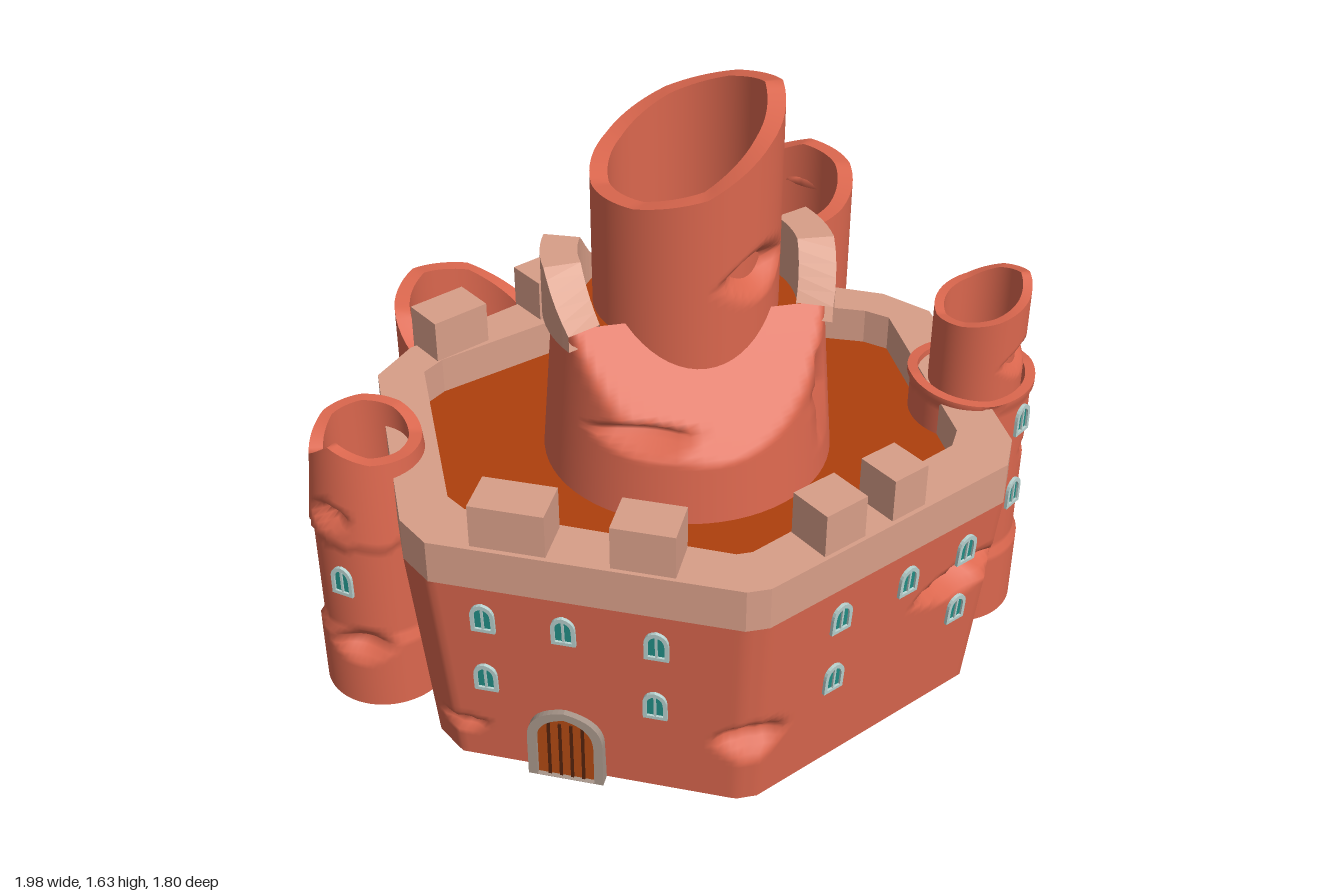
import * as THREE from 'three';
import { mergeGeometries } from 'three/addons/utils/BufferGeometryUtils.js';

const mat = (name, color) => {
  const m = new THREE.MeshStandardMaterial({ color, side: THREE.DoubleSide });
  m.name = name;
  return m;
};

export function createModel() {
  const clay = mat('red clay', 0xdb674e), pale = mat('pale stone', 0xd89e88), floorMat = mat('orange floor', 0xae3f0d);
  const teal = mat('teal glass', 0x239088), frameMat = mat('window frame', 0xb9d3d0);
  const wood = mat('door wood', 0xb14a12), dark = mat('dark gap', 0x54220c), archMat = mat('gate stone', 0xa8968a);

  const root = new THREE.Group();
  root.name = 'ruinedCastle';
  const add = (name, geo, m, parent = root) => {
    const mesh = new THREE.Mesh(geo, m);
    mesh.name = name;
    parent.add(mesh);
    return mesh;
  };

  // Grid surface closed around u; point(u, v) returns a Vector3
  function sheet(nu, nv, point, flip = false) {
    const pos = [], idx = [];
    for (let j = 0; j <= nv; j++)
      for (let i = 0; i < nu; i++) pos.push(...point(i / nu, j / nv).toArray());
    for (let j = 0; j < nv; j++)
      for (let i = 0; i < nu; i++) {
        const k = (i + 1) % nu, a = j * nu + i, b = j * nu + k, c = a + nu, d = b + nu;
        flip ? idx.push(a, d, b, a, c, d) : idx.push(a, b, d, a, d, c);
      }
    const g = new THREE.BufferGeometry();
    g.setAttribute('position', new THREE.Float32BufferAttribute(pos, 3));
    g.setIndex(idx);
    g.computeVertexNormals();
    return g;
  }

  // Lens-shaped gouges [x, y, z, halfWidth, halfHeight, depth], pushed toward an axis
  function gouge(p, dents, cx, cz) {
    let push = 0;
    for (const [x, y, z, w, h, d] of dents) {
      const dist = Math.hypot(p.x - x, p.z - z) / w;
      push = Math.max(push, d * (1 - dist * dist - Math.abs(p.y - y) / h));
    }
    const r = Math.hypot(p.x - cx, p.z - cz);
    p.x -= (p.x - cx) / r * push;
    p.z -= (p.z - cz) / r * push;
    return p;
  }

  // Broken tube; tops are rim heights at eighths, from the front toward +x
  function tower(name, { x, z, r, inner, y0 = 0, tops, dents = [], shape = p => p }) {
    const rAt = typeof r === 'function' ? r : () => r;
    const top = u => {
      const f = u * tops.length, i = Math.floor(f), n = tops.length;
      return THREE.MathUtils.lerp(tops[i % n], tops[(i + 1) % n], f - i);
    };
    const at = (u, rad, y) => {
      const a = u * Math.PI * 2;
      return new THREE.Vector3(x + rad * Math.sin(a), y, z + rad * Math.cos(a));
    };
    const parts = [sheet(64, 44, (u, v) => {
      const y = y0 + v * (top(u) - y0);
      return shape(gouge(at(u, rAt(y), y), dents, x, z));
    })];
    if (inner) {
      parts.push(sheet(64, 1, (u, v) => at(u, inner, y0 + v * (top(u) - y0)), true));
      parts.push(sheet(64, 1, (u, v) => at(u, v ? inner : rAt(top(u)), top(u))));
      parts.push(sheet(64, 1, (u, v) => at(u, v ? inner : rAt(y0), y0), true));
    }
    return add(name, mergeGeometries(parts), clay);
  }

  // Hexagonal outlines with clipped corners, mirrored about the castle axis
  const CX = 0.015, CZ = 0.15;
  const outline = half => [...half, ...half.slice().reverse().map(([x, z]) => [-x, z])]
    .map(([x, z]) => new THREE.Vector2(x + CX, z));
  const outer = outline([[0.03, 0.9], [0.74, 0.56], [0.79, 0.46], [0.79, -0.19], [0.69, -0.31], [0.13, -0.6]]);
  const inner = outline([[0.02, 0.76], [0.63, 0.45], [0.665, 0.39], [0.665, -0.18], [0.61, -0.23], [0.06, -0.46]]);
  const scaleAt = y => 0.93 + 0.07 * Math.min(y / 0.61, 1);

  // Curtain wall
  const path = new THREE.Path([...outer, outer[0]]);
  const ring = path.getSpacedPoints(260);
  const wallDents = [
    [0.02, 0.21, 0.84, 0.1, 0.075, 0.07], [0.66, 0.41, 0.57, 0.2, 0.06, 0.11], [-0.65, 0.115, 0.52, 0.08, 0.03, 0.05],
    [0.76, 0.36, -0.22, 0.1, 0.2, 0.09], [-0.36, 0.3, -0.42, 0.1, 0.1, 0.07], [-0.7, 0.2, -0.2, 0.12, 0.12, 0.07],
    [0.45, 0.35, -0.4, 0.1, 0.14, 0.07],
  ];
  add('curtainWall', sheet(260, 36, (u, v) => {
    const q = ring[Math.round(u * 260)], y = v * 0.61, s = scaleAt(y);
    return gouge(new THREE.Vector3(CX + (q.x - CX) * s, y, CZ + (q.y - CZ) * s), wallDents, CX, CZ);
  }), clay);

  // Parapet and courtyard floor
  const flat = pts => pts.map(p => new THREE.Vector2(p.x, -p.y));
  const parapetShape = new THREE.Shape(flat(outer));
  parapetShape.holes.push(new THREE.Path(flat(inner)));
  const parapet = new THREE.ExtrudeGeometry(parapetShape, { depth: 0.12, bevelEnabled: false });
  add('parapet', parapet.rotateX(-Math.PI / 2).translate(0, 0.61, 0), pale);
  const court = new THREE.ShapeGeometry(new THREE.Shape(flat(inner)));
  add('courtyardFloor', court.rotateX(-Math.PI / 2).translate(0, 0.625, 0), floorMat);

  // Merlons: x along the wall, width, front or back wall
  for (const [x, w, front] of [[-0.21, 0.16, 1], [-0.51, 0.19, 1], [0.23, 0.13, 1], [0.42, 0.11, 1],
    [-0.25, 0.17, 0], [-0.56, 0.17, 0], [0.2, 0.17, 0], [0.45, 0.15, 0]]) {
    const ax = Math.abs(x - CX), side = Math.sign(x);
    const z = front ? 0.837 - 0.485 * ax : -0.605 + 0.5 * ax;
    const m = add('merlon', new THREE.BoxGeometry(w, 0.13, 0.12), pale);
    m.position.set(x, 0.785, z);
    m.rotation.y = side * (front ? 0.45 : -0.48);
  }

  // Keep: lower drum with a sloping broken front
  const slope = y => 0.5 - (y - 0.78) * 0.867;
  const cut = p => (p.z = Math.min(p.z, slope(p.y)), p);
  tower('keepLower', {
    x: 0.02, z: 0.12, y0: 0.61, r: y => 0.385 - (y - 0.61) * 0.08, tops: [1.08, 1.08, 1.08, 1.06, 1.05, 1.06, 1.08, 1.08],
    dents: [[-0.14, 0.85, 0.44, 0.18, 0.05, 0.08], [0.33, 0.87, 0.33, 0.04, 0.17, 0.05]], shape: cut,
  });
  const keepFloor = new THREE.CircleGeometry(0.345, 48).rotateX(-Math.PI / 2).translate(0.02, 1.045, 0.12);
  const kp = keepFloor.attributes.position;
  for (let i = 0; i < kp.count; i++) kp.setZ(i, Math.min(kp.getZ(i), slope(1.05)));
  add('keepFloor', keepFloor, floorMat);

  // Keep parapet remnants on both sides
  for (const side of [-1, 1]) {
    const arc = sheet(4, 16, (u, v) => {
      const a = side * (1.12 + v * 1.22), k = Math.round(u * 4);
      const rad = k === 0 || k === 3 ? 0.28 : 0.375;
      const h = 1.085 + 0.125 * Math.min(1, v / 0.3, (1 - v) / 0.3);
      return new THREE.Vector3(0.02 + rad * Math.sin(a), k < 2 ? 1.04 : h, 0.12 + rad * Math.cos(a));
    }, side < 0).toNonIndexed();
    arc.computeVertexNormals();
    add('keepParapet', arc, pale);
  }

  // Keep: upper tower
  tower('keepUpper', {
    x: 0.02, z: 0.09, r: 0.24, inner: 0.195, y0: 0.95, tops: [1.45, 1.55, 1.63, 1.59, 1.53, 1.45, 1.4, 1.41],
    dents: [[0.17, 1.21, 0.28, 0.13, 0.07, 0.08]],
  });

  // Rear towers
  tower('rearTowerTall', {
    x: 0.45, z: -0.66, r: 0.245, inner: 0.2, tops: [0.9, 0.93, 0.985, 0.99, 0.92, 0.93, 0.96, 0.92],
    dents: [[0.62, 0.86, -0.82, 0.17, 0.06, 0.06], [0.38, 0.1, -0.89, 0.1, 0.1, 0.06]],
  });
  tower('rearTowerShort', {
    x: -0.45, z: -0.66, r: 0.245, inner: 0.2, tops: [0.43, 0.38, 0.43, 0.53, 0.64, 0.68, 0.64, 0.53],
    dents: [[-0.45, 0.28, -0.9, 0.12, 0.08, 0.07]],
  });

  // Side tower on +x: plinth, body, collar and hollow turret
  tower('sideTowerBody', {
    x: 0.805, z: 0.15, r: y => (y < 0.225 ? 0.175 : y > 0.725 ? 0.172 : 0.163), inner: 0.145,
    tops: [0.74, 0.75, 0.76, 0.75, 0.74, 0.75, 0.76, 0.75],
    dents: [[0.97, 0.54, 0.14, 0.14, 0.045, 0.06]],
  });
  tower('sideTurret', {
    x: 0.81, z: 0.165, r: 0.125, inner: 0.1, y0: 0.55, tops: [0.98, 1.01, 1.05, 1.03, 0.99, 0.97, 0.95, 0.96],
    dents: [[0.91, 0.84, 0.24, 0.1, 0.05, 0.05]],
  });

  // Side tower on -x, broken lower down
  tower('sideTowerBroken', {
    x: -0.83, z: 0.15, r: y => (y < 0.225 ? 0.17 : y < 0.53 ? 0.158 : 0.168 - (y - 0.53) * 0.1), inner: 0.11,
    tops: [0.78, 0.77, 0.77, 0.8, 0.81, 0.8, 0.74, 0.82],
    dents: [[-0.9, 0.2, 0.3, 0.1, 0.05, 0.06], [-0.95, 0.61, 0.25, 0.08, 0.04, 0.05], [-0.97, 0.2, 0.05, 0.12, 0.08, 0.06]],
  });
  for (const [y, turn] of [[0.62, -1], [0.002, 1]]) {
    const cap = new THREE.CircleGeometry(y > 0.1 ? 0.112 : 0.168, 32).rotateX(turn * Math.PI / 2);
    add('sideTowerCap', cap.translate(-0.83, y, 0.15), clay);
  }

  // Pointed or rounded arch outline
  function arch(w, h, spring, y0 = 0, Kind = THREE.Shape) {
    const s = new Kind();
    s.moveTo(-w, y0);
    s.lineTo(w, y0);
    s.lineTo(w, spring);
    s.quadraticCurveTo(w, h * 0.93, 0, h);
    s.quadraticCurveTo(-w, h * 0.93, -w, spring);
    s.closePath();
    return s;
  }

  // Windows
  const frameShape = arch(0.031, 0.09, 0.05);
  frameShape.holes.push(arch(0.021, 0.078, 0.047, 0.01, THREE.Path));
  const frameGeo = mergeGeometries([
    new THREE.ExtrudeGeometry(frameShape, { depth: 0.009, bevelEnabled: false, curveSegments: 5 }).deleteAttribute('uv'),
    new THREE.BoxGeometry(0.006, 0.07, 0.008).translate(0, 0.044, 0.004).toNonIndexed().deleteAttribute('uv'),
  ]);
  const paneGeo = new THREE.ShapeGeometry(arch(0.024, 0.082, 0.048, 0.005), 5);
  function windowAt(x, y, z, turn, tilt = 0) {
    const g = new THREE.Group();
    g.name = 'window';
    add('windowFrame', frameGeo, frameMat, g);
    add('windowPane', paneGeo, teal, g).position.z = 0.003;
    g.rotation.set(tilt, turn, 0, 'YXZ');
    g.position.set(x + 0.004 * Math.sin(turn), y - 0.045, z + 0.004 * Math.cos(turn));
    root.add(g);
  }
  const frontZ = (x, y) => {
    const s = scaleAt(y), d = Math.abs(x - CX) / s;
    return CZ + s * (0.75 - (d - 0.03) * 0.479);
  };
  for (const [x, y] of [[-0.6, 0.52], [-0.415, 0.52], [-0.205, 0.52], [-0.6, 0.31], [-0.205, 0.31],
    [0.25, 0.52], [0.455, 0.52], [0.64, 0.52], [0.245, 0.31], [0.635, 0.31]])
    windowAt(x, y, frontZ(x, y - 0.045), Math.sign(x) * 0.4466, 0.075);
  windowAt(0.903, 0.665, 0.281, 0.64);
  windowAt(0.903, 0.42, 0.281, 0.64);
  windowAt(-0.927, 0.42, 0.276, -0.65);

  // Gate: stone arch, door and plank gaps
  const gate = new THREE.Group();
  gate.name = 'gate';
  const gateShape = arch(0.1, 0.228, 0.13);
  gateShape.holes.push(arch(0.076, 0.205, 0.12, 0.001, THREE.Path));
  add('gateArch', new THREE.ExtrudeGeometry(gateShape, { depth: 0.05, bevelEnabled: false }), archMat, gate).position.z = -0.015;
  add('gateDoor', new THREE.ShapeGeometry(arch(0.08, 0.208, 0.122)), wood, gate).position.z = 0.022;
  for (const x of [-0.045, -0.015, 0.015, 0.045])
    add('plankGap', new THREE.BoxGeometry(0.008, 0.18, 0.004), dark, gate).position.set(x, 0.09, 0.024);
  gate.position.set(-0.41, 0, frontZ(-0.41, 0));
  gate.rotation.y = -0.4466;
  root.add(gate);

  return root;
}
